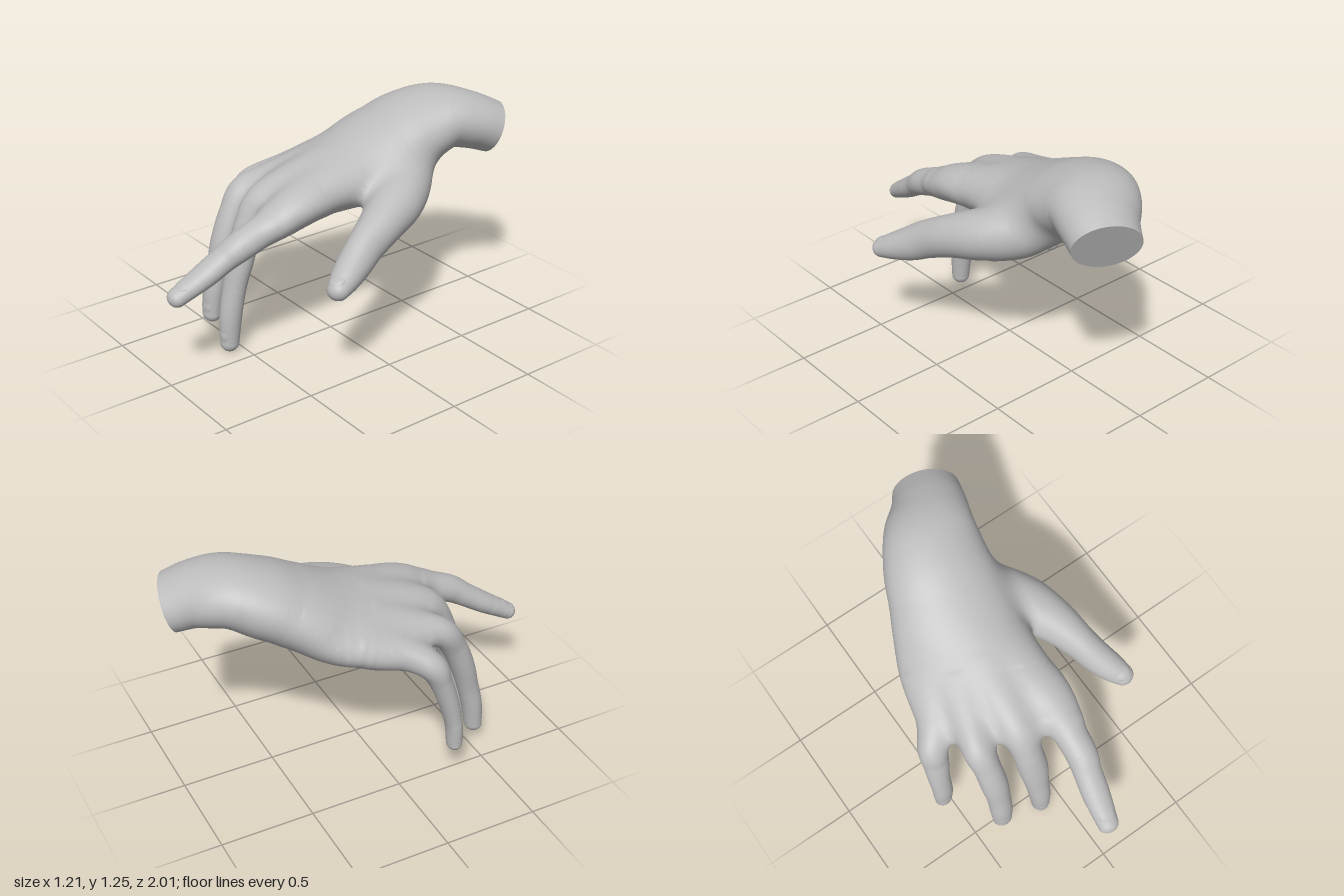
import * as THREE from 'three';

const SIDES = 56;
const STEPS = 72;
const SAMPLES = 44;
const BLEND = 0.075;

// Station: [x, y, z, halfWidth, halfThickness, lean]. Lean rolls and skews a ring across the knuckles.
const PALM = [
  [0.20, 1.01, -0.925, 0.175, 0.14, 0],
  [0.14, 1.06, -0.80, 0.20, 0.152, 0],
  [0.06, 1.08, -0.67, 0.24, 0.165, 0],
  [0.00, 1.03, -0.52, 0.278, 0.185, 0.1],
  [-0.035, 0.965, -0.38, 0.302, 0.187, 0.3],
  [-0.08, 0.885, -0.20, 0.335, 0.185, 0.6],
  [-0.125, 0.835, 0.00, 0.365, 0.155, 0.9],
  [-0.14, 0.795, 0.18, 0.36, 0.12, 1],
  [-0.145, 0.765, 0.285, 0.335, 0.085, 1],
];

// Each digit starts inside the palm and swells at its joints
const DIGITS = {
  indexFinger: [
    [0.07, 0.885, 0.00, 0.07, 0.06],
    [0.085, 0.85, 0.18, 0.088, 0.075],
    [0.095, 0.815, 0.31, 0.095, 0.085],
    [0.093, 0.77, 0.43, 0.088, 0.08],
    [0.085, 0.70, 0.61, 0.083, 0.074],
    [0.065, 0.645, 0.70, 0.075, 0.064],
    [0.045, 0.575, 0.81, 0.073, 0.058],
    [0.02, 0.49, 0.955, 0.056, 0.046],
  ],
  middleFinger: [
    [-0.09, 0.90, 0.00, 0.065, 0.065],
    [-0.11, 0.855, 0.20, 0.08, 0.075],
    [-0.125, 0.795, 0.35, 0.085, 0.08],
    [-0.125, 0.68, 0.43, 0.08, 0.072],
    [-0.12, 0.51, 0.49, 0.08, 0.068],
    [-0.12, 0.36, 0.53, 0.067, 0.06],
    [-0.118, 0.20, 0.56, 0.058, 0.06],
    [-0.117, 0.05, 0.572, 0.048, 0.05],
  ],
  ringFinger: [
    [-0.25, 0.86, 0.00, 0.06, 0.06],
    [-0.30, 0.82, 0.17, 0.075, 0.07],
    [-0.342, 0.77, 0.31, 0.08, 0.075],
    [-0.34, 0.66, 0.39, 0.073, 0.068],
    [-0.338, 0.52, 0.45, 0.073, 0.064],
    [-0.338, 0.38, 0.49, 0.064, 0.057],
    [-0.342, 0.25, 0.52, 0.062, 0.054],
    [-0.345, 0.115, 0.535, 0.054, 0.048],
  ],
  littleFinger: [
    [-0.38, 0.80, -0.08, 0.06, 0.06],
    [-0.45, 0.77, 0.06, 0.07, 0.068],
    [-0.515, 0.715, 0.16, 0.078, 0.072],
    [-0.53, 0.62, 0.205, 0.071, 0.058],
    [-0.545, 0.50, 0.245, 0.06, 0.052],
    [-0.55, 0.38, 0.275, 0.056, 0.046],
    [-0.553, 0.31, 0.285, 0.055, 0.043],
    [-0.557, 0.215, 0.288, 0.047, 0.04],
  ],
  thumb: [
    [0.08, 0.94, -0.48, 0.11, 0.10],
    [0.20, 0.845, -0.33, 0.14, 0.14],
    [0.305, 0.795, -0.18, 0.145, 0.132],
    [0.385, 0.75, -0.03, 0.115, 0.112],
    [0.437, 0.69, 0.11, 0.092, 0.10],
    [0.475, 0.635, 0.21, 0.086, 0.09],
    [0.515, 0.595, 0.30, 0.076, 0.072],
    [0.55, 0.567, 0.37, 0.057, 0.052],
  ],
};

// Frame and size at any point along a row of stations
function makeSweep(stations) {
  const path = new THREE.CatmullRomCurve3(stations.map(s => new THREE.Vector3(s[0], s[1], s[2])), false, 'catmullrom');
  const size = new THREE.CatmullRomCurve3(stations.map(s => new THREE.Vector3(s[3], s[4], s[5] || 0)), false, 'catmullrom');
  return u => {
    const k = size.getPoint(u);
    const tangent = path.getTangent(u);
    const side = new THREE.Vector3(1, 0.18 * k.z, 0);
    side.addScaledVector(tangent, -side.dot(tangent)).normalize();
    const normal = new THREE.Vector3().crossVectors(tangent, side);
    return { centre: path.getPoint(u), tangent, side, normal, w: k.x, t: k.y, skew: 0.4 * k.z };
  };
}

const along = (v, x, y, z) => v.x * x + v.y * y + v.z * z;

// Approximate distance from a point to one ellipsoidal slice
function sliceDistance(f, px, py, pz) {
  const x = px - f.centre.x, y = py - f.centre.y, z = pz - f.centre.z;
  const s = along(f.side, x, y, z);
  const a = s / f.w;
  const b = along(f.normal, x, y, z) / f.t;
  const c = (along(f.tangent, x, y, z) - f.skew * s) / f.t;
  const r = Math.sqrt(a * a + b * b + c * c);
  const slope = Math.sqrt((a / f.w) ** 2 + (b / f.t) ** 2 + (c / f.t) ** 2);
  return (r * (r - 1)) / (slope + 1e-6);
}

// Distance to a whole part: the nearest slice, refined between its neighbours
function partDistance(slices, x, y, z) {
  const d = slices.map(f => sliceDistance(f, x, y, z));
  let i = 0;
  for (let j = 1; j < d.length; j++) if (d[j] < d[i]) i = j;
  if (i === 0 || i === d.length - 1) return d[i];
  const curve = d[i - 1] - 2 * d[i] + d[i + 1];
  return d[i] - (d[i - 1] - d[i + 1]) ** 2 / (8 * curve + 1e-9);
}

// Smooth union of all parts
function makeField(sweeps) {
  const parts = sweeps.map(sweep => Array.from({ length: SAMPLES + 1 }, (_, i) => sweep(i / SAMPLES)));
  return (x, y, z) => {
    let total = 1;
    for (const slices of parts) {
      const d = partDistance(slices, x, y, z);
      const h = Math.max(BLEND - Math.abs(total - d), 0) / BLEND;
      total = Math.min(total, d) - h * h * BLEND / 4;
    }
    return total;
  };
}

function gradient(field, p) {
  const e = 0.004;
  return new THREE.Vector3(
    field(p.x + e, p.y, p.z) - field(p.x - e, p.y, p.z),
    field(p.x, p.y + e, p.z) - field(p.x, p.y - e, p.z),
    field(p.x, p.y, p.z + e) - field(p.x, p.y, p.z - e),
  ).divideScalar(2 * e);
}

function ringPoints(f, scale, shift) {
  return Array.from({ length: SIDES }, (_, j) => {
    const a = (j / SIDES) * Math.PI * 2;
    const c = Math.cos(a) * f.w * scale;
    return f.centre.clone()
      .addScaledVector(f.side, c)
      .addScaledVector(f.normal, Math.sin(a) * f.t * scale)
      .addScaledVector(f.tangent, shift + f.skew * c);
  });
}

// Skin over a sweep with a rounded tip, then eased onto the blended surface
function skin(sweep, field) {
  const rings = [];
  for (let i = 0; i <= STEPS; i++) rings.push(ringPoints(sweep(i / STEPS), 1, 0));
  const end = sweep(1);
  const dome = 10;
  for (let i = 1; i <= dome; i++) {
    const a = (i / dome) * Math.PI / 2;
    rings.push(ringPoints(end, Math.max(Math.cos(a), 0.002), Math.sin(a) * end.t));
  }
  const index = [];
  for (let i = 0; i < rings.length - 1; i++) {
    for (let j = 0; j < SIDES; j++) {
      const a = i * SIDES + j, b = i * SIDES + (j + 1) % SIDES;
      index.push(a, b, b + SIDES, a, b + SIDES, a + SIDES);
    }
  }
  const points = rings.flat();
  const normals = [];
  for (const p of points) {
    // Points buried deep in another part stay hidden
    for (let k = 0; k < 3; k++) {
      const d = field(p.x, p.y, p.z);
      if (d < -0.06 || Math.abs(d) < 0.0003) break;
      const g = gradient(field, p);
      p.addScaledVector(g, -d / Math.max(g.lengthSq(), 0.3));
    }
    normals.push(...gradient(field, p).normalize().toArray());
  }
  const geometry = new THREE.BufferGeometry().setFromPoints(points);
  geometry.setAttribute('normal', new THREE.Float32BufferAttribute(normals, 3));
  geometry.setIndex(index);
  return geometry;
}

// Flat disc closing the first ring of a skin
function flatCap(geometry, centre) {
  const position = geometry.getAttribute('position');
  const points = [centre];
  const index = [];
  for (let j = 0; j < SIDES; j++) {
    points.push(new THREE.Vector3().fromBufferAttribute(position, j));
    index.push(0, 1 + (j + 1) % SIDES, 1 + j);
  }
  const cap = new THREE.BufferGeometry().setFromPoints(points);
  cap.setIndex(index);
  cap.computeVertexNormals();
  return cap;
}

export function createModel() {
  const hand = new THREE.Group();
  hand.name = 'hand';
  const material = new THREE.MeshStandardMaterial({ color: 0xbcbcbc });
  material.name = 'plain grey';
  const add = (name, geometry) => {
    const mesh = new THREE.Mesh(geometry, material);
    mesh.name = name;
    hand.add(mesh);
    return mesh;
  };
  const palm = makeSweep(PALM);
  const digits = Object.entries(DIGITS).map(([name, stations]) => [name, makeSweep(stations)]);
  const field = makeField([palm, ...digits.map(d => d[1])]);

  // Palm and wrist
  const palmSkin = skin(palm, field);
  add('palmAndWrist', palmSkin);
  add('wristCut', flatCap(palmSkin, palm(0).centre));

  // Fingers and thumb with barely raised, curved nails
  for (const [name, sweep] of digits) {
    add(name, skin(sweep, field));
    const f = sweep(0.95);
    const nail = add(name + 'Nail', new THREE.SphereGeometry(1, 32, 20));
    nail.quaternion.setFromRotationMatrix(new THREE.Matrix4().makeBasis(f.side, f.normal, f.tangent));
    nail.scale.set(f.w * 0.72, f.t * 0.4, 0.055);
    nail.position.copy(f.centre).addScaledVector(f.normal, f.t * 0.63);
  }
  return hand;
}
